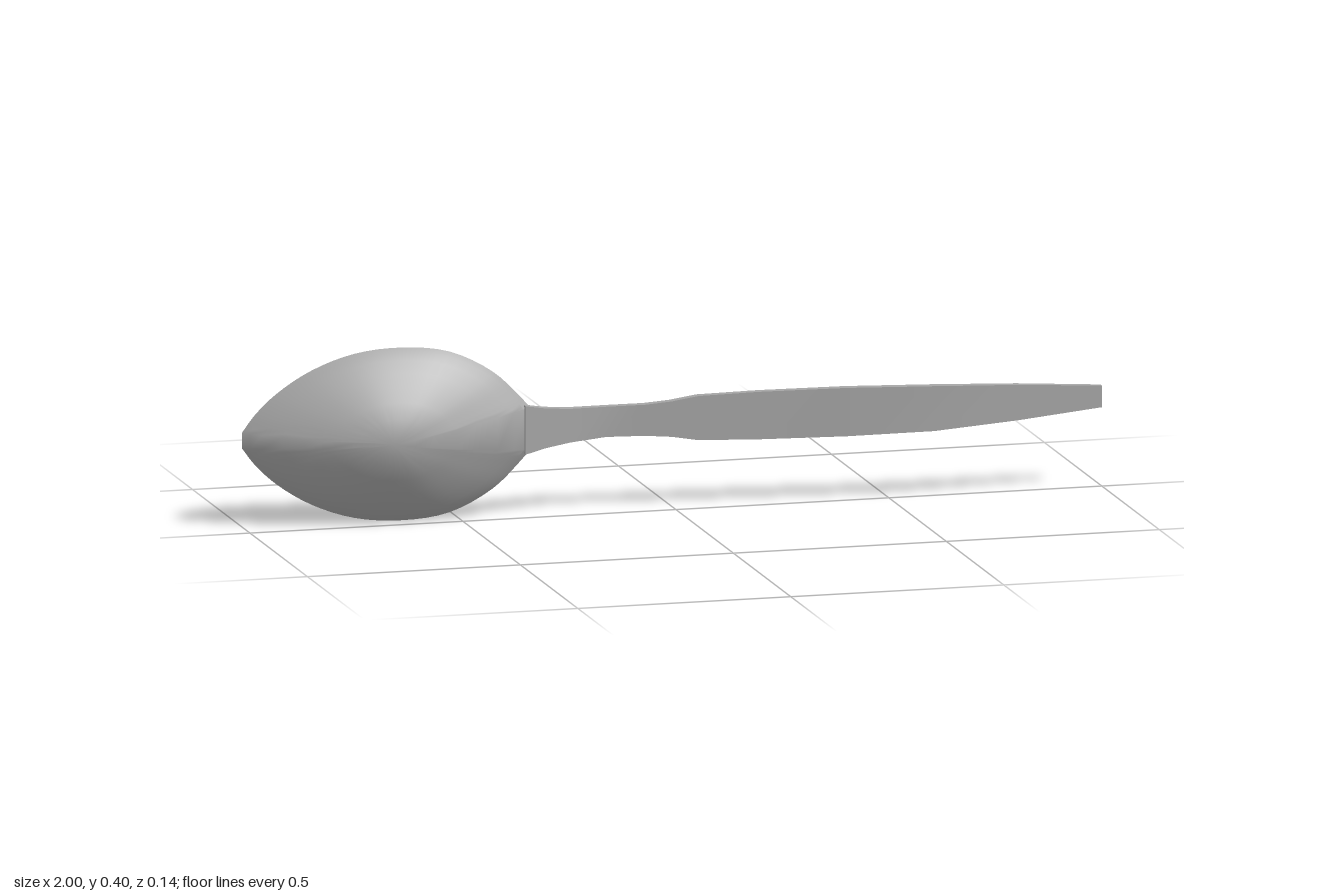
import * as THREE from 'three';
import { toCreasedNormals } from 'three/addons/utils/BufferGeometryUtils.js';

const MID = 0.205; // height of the spoon's long axis

// Skin a list of closed rings of points; a ring that shrinks to one point closes an end.
function skin(rings, crease) {
  const pos = [];
  const tri = (a, b, c) => {
    const area = b.clone().sub(a).cross(c.clone().sub(a)).length();
    if (area > 1e-10) pos.push(...a, ...b, ...c);
  };
  for (let i = 0; i < rings.length - 1; i++) {
    const r = rings[i], q = rings[i + 1], n = r.length;
    for (let j = 0; j < n; j++) {
      const k = (j + 1) % n;
      tri(r[j], q[j], q[k]);
      tri(r[j], q[k], r[k]);
    }
  }
  const g = new THREE.BufferGeometry();
  g.setAttribute('position', new THREE.Float32BufferAttribute(pos, 3));
  return toCreasedNormals(g, crease);
}

// Bowl: a pointed oval outline scaled towards the deepest point, outside then inside
function bowlGeometry() {
  const half = new THREE.CatmullRomCurve3([
    [-0.335, 0.05], [-0.36, 0.078], [-0.42, 0.135], [-0.52, 0.186], [-0.63, 0.2], [-0.74, 0.19],
    [-0.84, 0.155], [-0.92, 0.105], [-0.97, 0.058], [-1, 0.018],
  ].map(([x, y]) => new THREE.Vector3(x, y, 0))).getPoints(36);
  const outline = [...half, ...half.slice().reverse().map((p) => new THREE.Vector3(p.x, -p.y, 0))];
  const cx = -0.68, depth = 0.117;
  const rimZ = (x) => -0.07 + (x + 1) * 0.06;
  // [scale, fraction of depth]
  const profile = [
    [0, 1], [0.14, 0.96], [0.275, 0.9], [0.45, 0.74], [0.6, 0.58], [0.75, 0.41], [0.875, 0.23], [0.95, 0.11], [1, 0],
    [0.955, 0], [0.85, 0.16], [0.7, 0.36], [0.55, 0.53], [0.4, 0.68], [0.25, 0.81], [0.12, 0.86], [0, 0.89],
  ];
  return skin(profile.map(([s, d]) => outline.map((p) => {
    const x = cx + (p.x - cx) * s;
    return new THREE.Vector3(x, MID + p.y * s, rimZ(x) + d * depth);
  })), 0.45);
}

// Handle: rectangular sections [x, half height, back z, front z] along a cranked path
function handleGeometry() {
  const sections = [
    [-0.35, 0.056, -0.031, -0.01], [-0.3, 0.046, -0.041, -0.02], [-0.24, 0.039, -0.053, -0.032],
    [-0.15, 0.035, -0.07, -0.05], [-0.06, 0.036, -0.062, -0.041], [0, 0.041, -0.056, -0.036],
    [0.06, 0.051, -0.05, -0.03], [0.2, 0.055, -0.037, -0.017], [0.4, 0.056, -0.019, 0.003],
    [0.6, 0.052, 0, 0.023], [0.8, 0.041, -0.006, 0.013], [1, 0.025, -0.012, 0.002],
  ];
  const rings = sections.map(([x, h, b, f]) => {
    const y = MID + 0.008 * THREE.MathUtils.clamp((x + 0.35) / 1.35, 0, 1);
    return [[h, f], [h, b], [-h, b], [-h, f]].map(([dy, z]) => new THREE.Vector3(x, y + dy, z));
  });
  const cap = (r) => {
    const c = r[0].clone().add(r[2]).multiplyScalar(0.5);
    return r.map(() => c);
  };
  return skin([cap(rings[0]), ...rings, cap(rings.at(-1))], 0.3);
}

export function createModel() {
  const group = new THREE.Group();
  group.name = 'spoon';
  const metal = new THREE.MeshStandardMaterial({ color: 0xa6a6a6 });
  metal.name = 'grey metal';
  const add = (name, geometry) => {
    const mesh = new THREE.Mesh(geometry, metal);
    mesh.name = name;
    group.add(mesh);
  };
  add('bowl', bowlGeometry());
  add('handle', handleGeometry());
  return group;
}
